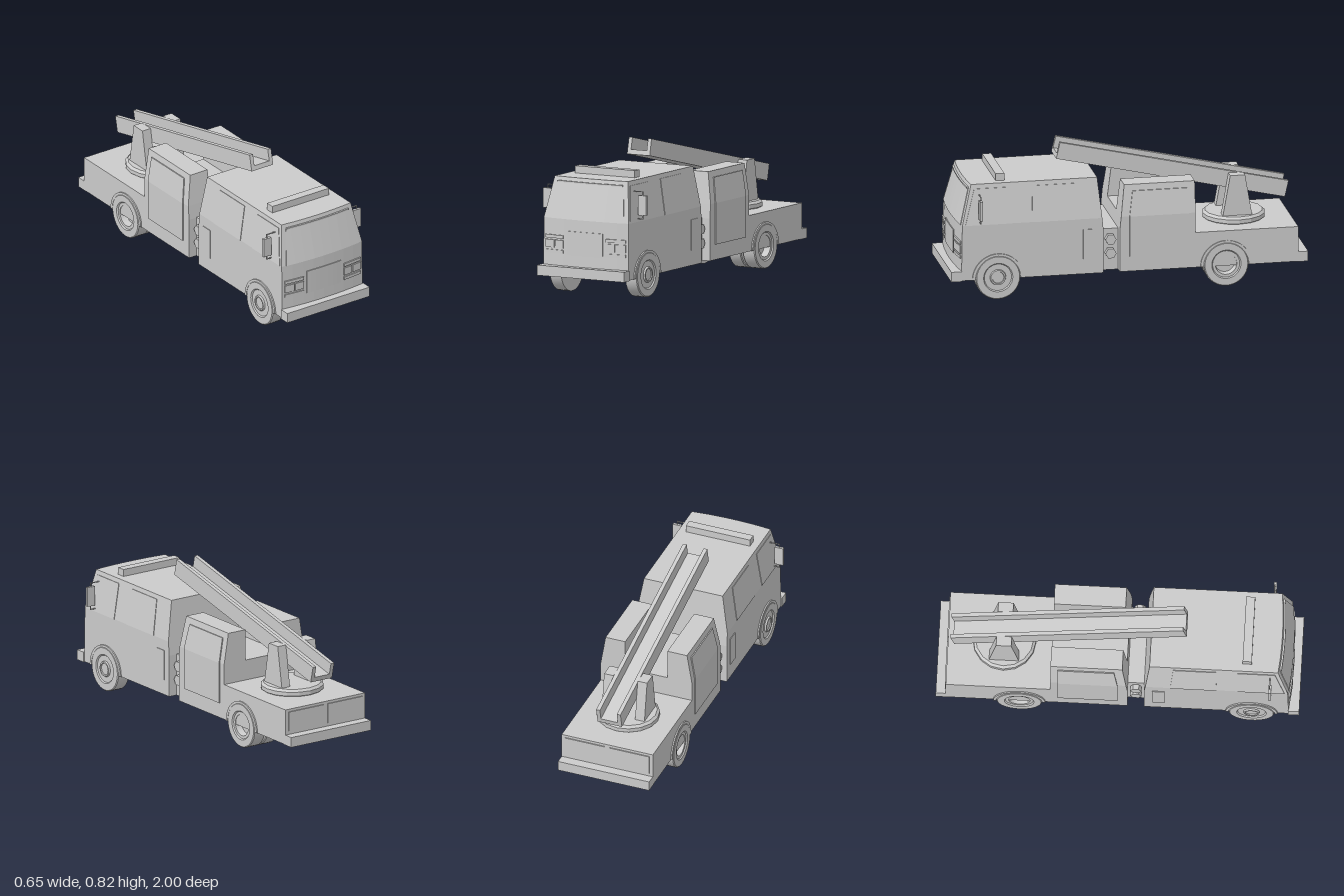
import * as THREE from 'three';
import { toCreasedNormals } from 'three/addons/utils/BufferGeometryUtils.js';

const flat = new THREE.MeshStandardMaterial({ color: 0xcccccc, flatShading: true });
const smooth = new THREE.MeshStandardMaterial({ color: 0xcccccc, side: THREE.DoubleSide });
const SHOULDER = 0.43;

export function createModel() {
  const root = new THREE.Group();

  const add = (name, geometry, material = flat, parent = root) => {
    const mesh = new THREE.Mesh(geometry, material);
    mesh.name = name;
    parent.add(mesh);
    return mesh;
  };

  const box = (name, x0, x1, y0, y1, z0, z1, parent = root) => {
    const m = add(name, new THREE.BoxGeometry(x1 - x0, y1 - y0, z1 - z0), flat, parent);
    m.position.set((x0 + x1) / 2, (y0 + y1) / 2, (z0 + z1) / 2);
    return m;
  };

  // Side outline of [z, y] points swept across x; the flanks lean in above the shoulder
  const sweep = (name, outline, x0, x1, bowed = false, taper = true) => {
    const shape = new THREE.Shape(outline.map(([z, y]) => new THREE.Vector2(-z, y)));
    const g = new THREE.ExtrudeGeometry(shape, { depth: x1 - x0, steps: bowed ? 8 : 1, bevelEnabled: false, curveSegments: 16 });
    g.rotateY(Math.PI / 2).translate(x0, 0, 0);
    const p = g.attributes.position;
    for (let i = 0; i < p.count; i++) {
      let x = p.getX(i);
      const y = p.getY(i), z = p.getZ(i);
      if (taper && Math.abs(x) > 0.2) x -= Math.sign(x) * Math.max(0, y - SHOULDER) * 0.165;
      p.setX(i, x);
      // the nose is gently bowed in plan
      if (bowed && z > 0.8) p.setZ(i, z - 0.018 * (x / 0.27) ** 2);
    }
    g.computeVertexNormals();
    return add(name, g);
  };

  const bothSides = (name, outline, x0, x1) => {
    sweep(name + 'Left', outline, x0, x1);
    sweep(name + 'Right', outline, -x1, -x0);
  };
  const rect = (z0, z1, y0, y1) => [[z0, y0], [z1, y0], [z1, y1], [z0, y1]];

  // Cab
  sweep('cabLower', [[0.145, 0.115], [0.96, 0.115], [0.955, SHOULDER], [0.153, SHOULDER], [0.145, 0.35]], -0.27, 0.27, true);
  sweep('cabUpper', [[0.153, SHOULDER], [0.955, SHOULDER], [0.895, 0.655], [0.175, 0.655]], -0.27, 0.27, true);
  sweep('windshield', [[0.93, 0.43], [0.958, 0.43], [0.905, 0.628], [0.87, 0.628]], -0.243, 0.243, true);
  sweep('windshieldBrim', rect(0.87, 0.911, 0.626, 0.634), -0.241, 0.241, true);
  bothSides('frontWindow', [[0.66, SHOULDER], [0.92, SHOULDER], [0.865, 0.63], [0.66, 0.63]], 0.262, 0.273);
  bothSides('rearWindow', [[0.29, SHOULDER], [0.545, SHOULDER], [0.54, 0.63], [0.305, 0.63]], 0.262, 0.273);
  bothSides('cabLocker', rect(0.19, 0.26, 0.2, 0.37), 0.262, 0.274);
  box('lightBar', -0.19, 0.19, 0.65, 0.695, 0.685, 0.735);

  // Nose: hatch and lamps
  sweep('noseHatch', rect(0.94, 0.961, 0.23, 0.365), -0.115, 0.115, true);
  for (const s of [1, -1]) {
    const lamps = [[0.135, 0.255, 0.32, 0.338], [0.135, 0.255, 0.239, 0.256], [0.135, 0.19, 0.267, 0.311], [0.197, 0.255, 0.267, 0.311]];
    lamps.forEach(([a, b, y0, y1], i) =>
      sweep(i < 2 ? 'lampTrim' : 'headlight', rect(0.94, 0.964, y0, y1), s > 0 ? a : -b, s > 0 ? b : -a, true));
  }

  // Bumpers
  box('frontBumper', -0.277, 0.277, 0.113, 0.17, 0.94, 1);
  box('rearBumper', -0.27, 0.27, 0.113, 0.17, -1, -0.93);

  // Wing mirrors on thin brackets
  for (const s of [1, -1]) {
    const mirror = new THREE.Group();
    mirror.name = s > 0 ? 'leftMirror' : 'rightMirror';
    root.add(mirror);
    const part = (name, a, b, y0, y1, z0, z1) => box(name, s > 0 ? a : -b, s > 0 ? b : -a, y0, y1, z0, z1, mirror);
    part('mirrorHead', 0.277, 0.327, 0.468, 0.578, 0.832, 0.848);
    part('bracketTop', 0.23, 0.304, 0.596, 0.6, 0.836, 0.842);
    part('bracketBottom', 0.25, 0.304, 0.445, 0.449, 0.836, 0.842);
    part('bracketPost', 0.3, 0.304, 0.445, 0.6, 0.836, 0.842);
  }

  // Pump section with hexagonal outlets
  box('pumpSection', -0.22, 0.22, 0.115, 0.352, 0.04, 0.16);
  for (const s of [1, -1]) for (const y of [0.215, 0.295]) {
    const outlet = add('pumpOutlet', new THREE.CylinderGeometry(0.031, 0.031, 0.03, 6).rotateZ(Math.PI / 2));
    outlet.position.set(s * 0.233, y, 0.1);
  }

  // Equipment body: solid base with two towers leaving a channel for the ladder
  sweep('bodyLower', [[-0.37, 0.115], [0.055, 0.115], [0.055, 0.35], [0.047, SHOULDER], [-0.37, SHOULDER]], -0.27, 0.27);
  bothSides('bodyTower', [[-0.37, SHOULDER], [0.047, SHOULDER], [0.025, 0.605], [-0.37, 0.605]], 0.125, 0.27);
  bothSides('bodyDoorLower', rect(-0.33, 0.0, 0.2, SHOULDER), 0.26, 0.276);
  bothSides('bodyDoorUpper', [[-0.33, SHOULDER], [0.0, SHOULDER], [-0.02, 0.57], [-0.33, 0.57]], 0.26, 0.276);

  // Rear deck with tailgate panels and lamps
  box('rearDeck', -0.27, 0.27, 0.115, 0.315, -0.945, -0.36);
  for (const s of [1, -1]) {
    box('tailPanel', s > 0 ? 0.015 : -0.25, s > 0 ? 0.25 : -0.015, 0.19, 0.3, -0.951, -0.94);
    box('tailLamp', s > 0 ? 0.13 : -0.25, s > 0 ? 0.25 : -0.13, 0.133, 0.152, -1, -0.99);
  }

  // Wheels: tyre and hub turned from one profile (radius, distance along axle)
  const wheelGeometry = (profile) =>
    toCreasedNormals(new THREE.LatheGeometry(profile.map(([r, h]) => new THREE.Vector2(r, h)), 32), 0.6);
  const tyre = [[0, 0], [0.125, 0], [0.125, 0.07], [0.12, 0.075], [0.082, 0.075], [0.076, 0.068]];
  const frontWheel = wheelGeometry([...tyre, [0.045, 0.068], [0.042, 0.078], [0.034, 0.078], [0.032, 0.072], [0, 0.072]]);
  const rearWheel = wheelGeometry([...tyre, [0.06, 0.068], [0.055, 0.03], [0, 0.03]]);
  const wheel = (name, geometry, x, z, s) => {
    const m = add(name, geometry, smooth);
    m.rotation.z = -s * Math.PI / 2;
    m.position.set(s * x, 0.125, z);
  };
  for (const s of [1, -1]) {
    wheel('frontWheel', frontWheel, 0.205, 0.738, s);
    wheel('rearOuterWheel', rearWheel, 0.205, -0.54, s);
    wheel('rearInnerWheel', rearWheel, 0.114, -0.54, s);
    // Arch lips
    for (const z of [0.738, -0.54]) {
      const arch = new THREE.Shape();
      arch.absarc(0, 0, 0.143, 0, Math.PI, false);
      arch.absarc(0, 0, 0.127, Math.PI, 0, true);
      const g = new THREE.ExtrudeGeometry(arch, { depth: 0.025, bevelEnabled: false, curveSegments: 20 });
      g.rotateY(Math.PI / 2).translate(-0.0125, 0, 0);
      add('wheelArch', g).position.set(s * 0.265, 0.117, z);
    }
  }

  // Turntable and ladder supports
  const ring = [[0, 0.31], [0.16, 0.31], [0.174, 0.32], [0.174, 0.342], [0.16, 0.355], [0, 0.355]];
  const table = add('turntable', new THREE.LatheGeometry(ring.map(([r, y]) => new THREE.Vector2(r, y)), 16));
  table.position.z = -0.635;
  for (const s of [1, -1]) {
    sweep('ladderSupport', [[-0.715, 0.35], [-0.55, 0.35], [-0.592, 0.585], [-0.675, 0.585]],
      s > 0 ? 0.072 : -0.127, s > 0 ? 0.127 : -0.072, false, false);
  }

  // Ladder: a raised U-shaped channel
  const ladder = new THREE.Group();
  ladder.name = 'ladder';
  ladder.position.set(0, 0.622, -0.279);
  ladder.rotation.x = -0.227;
  root.add(ladder);
  box('ladderFloor', -0.072, 0.072, -0.047, -0.02, -0.657, 0.657, ladder);
  box('ladderRailLeft', 0.05, 0.072, -0.02, 0.047, -0.657, 0.657, ladder);
  box('ladderRailRight', -0.072, -0.05, -0.02, 0.047, -0.657, 0.657, ladder);

  return root;
}
